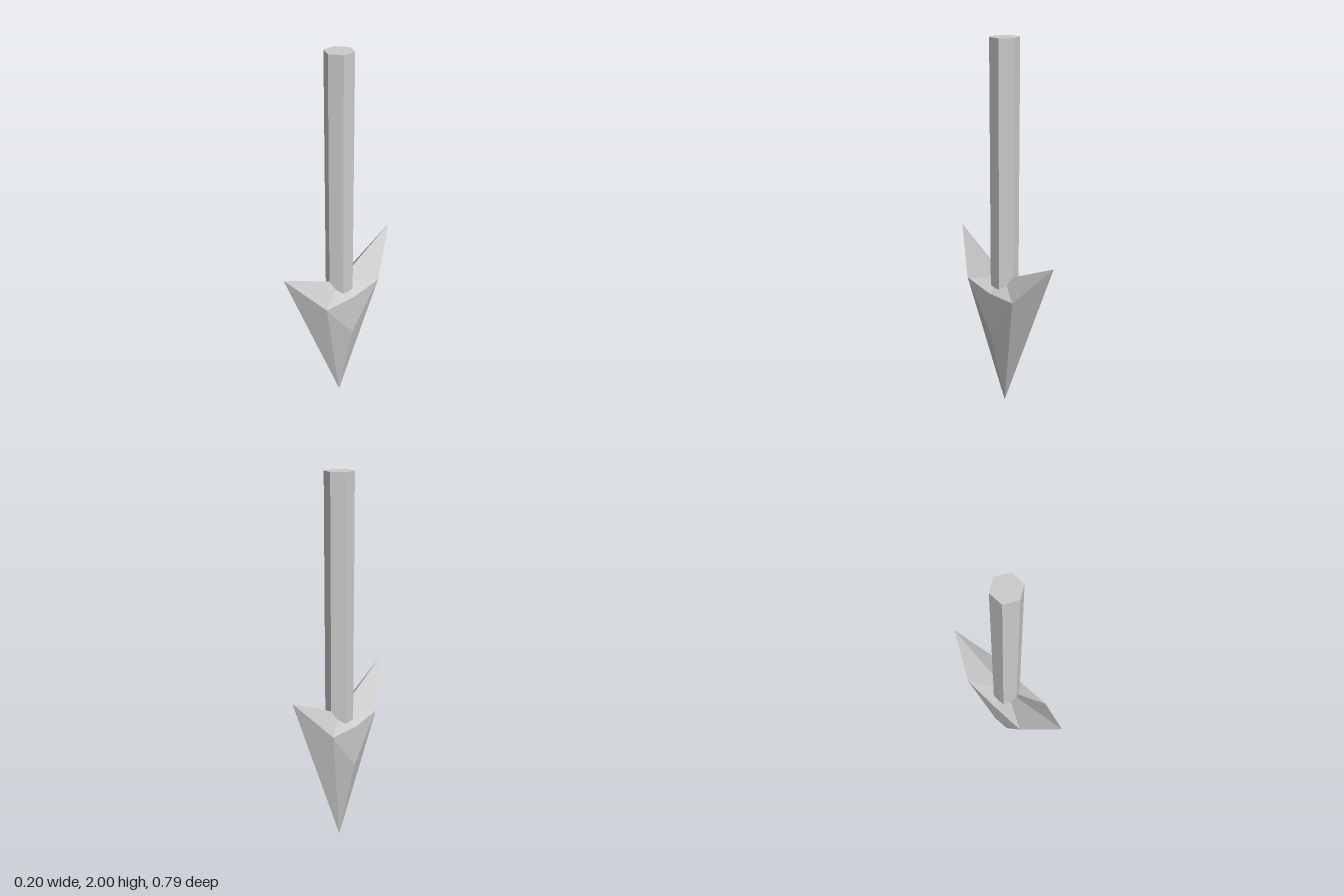
import * as THREE from 'three';

// One quarter of the barbed head (+x, +z); the other three are mirrored from it
const tip = [0, 0, 0];
const barb = [0, 0.94, 0.396];
const shoulder = [0.102, 0.71, 0.2];
const rim = [0.102, 0.69, 0];
const cheek = [0.098, 0.46, 0];
const socket = [0, 0.745, 0];
const quarter = [
  [tip, shoulder, barb],
  [tip, cheek, shoulder],
  [cheek, rim, shoulder],
  [socket, barb, shoulder],
  [socket, shoulder, rim],
];

function headGeometry() {
  const positions = [];
  for (const sx of [1, -1]) {
    for (const sz of [1, -1]) {
      for (const [a, b, c] of quarter) {
        // a single mirroring reverses the corner order
        const corners = sx * sz > 0 ? [a, b, c] : [a, c, b];
        for (const [x, y, z] of corners) positions.push(x * sx, y, z * sz);
      }
    }
  }
  const geometry = new THREE.BufferGeometry();
  geometry.setAttribute('position', new THREE.Float32BufferAttribute(positions, 3));
  geometry.computeVertexNormals();
  return geometry;
}

export function createModel() {
  const group = new THREE.Group();
  group.name = 'arrow';
  const material = new THREE.MeshStandardMaterial({ color: 0xcccccc, flatShading: true });

  const head = new THREE.Mesh(headGeometry(), material);
  head.name = 'arrowHead';

  // Hexagonal shaft, sunk into the head
  const bottom = 0.62, top = 2;
  const shaft = new THREE.Mesh(new THREE.CylinderGeometry(0.074, 0.074, top - bottom, 6), material);
  shaft.name = 'shaft';
  shaft.position.y = (top + bottom) / 2;

  group.add(head, shaft);
  return group;
}
